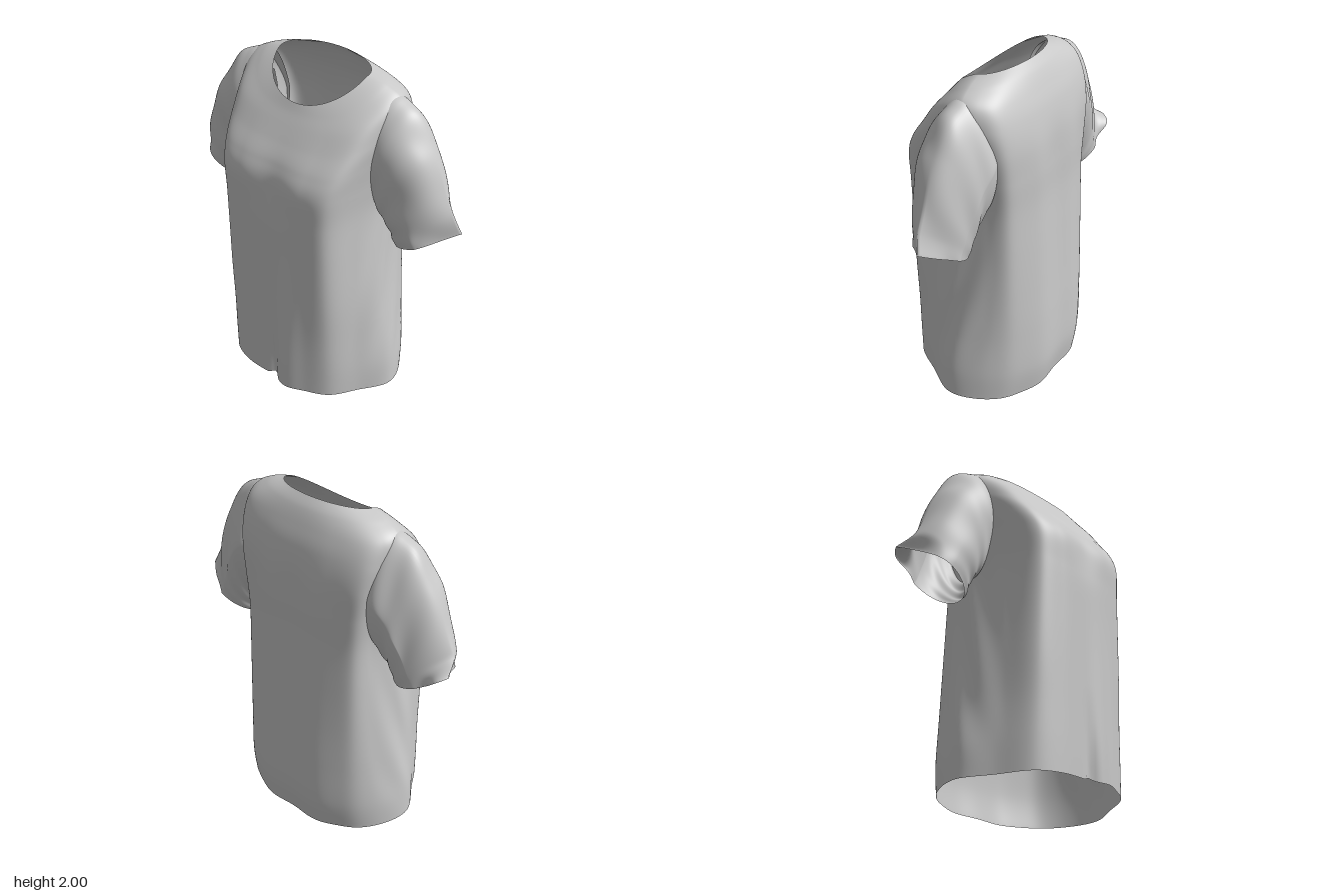
import * as THREE from 'three';

// smooth interpolation through rows of ring parameters, t in 0..1
function sampleRows(rows, t) {
  const f = t * (rows.length - 1);
  const i = Math.min(Math.floor(f), rows.length - 2);
  const k = f - i;
  const row = (n) => rows[Math.max(0, Math.min(rows.length - 1, n))];
  return rows[0].map((_, c) => {
    const [a, b, d, e] = [row(i - 1)[c], row(i)[c], row(i + 1)[c], row(i + 2)[c]];
    return b + 0.5 * k * (d - a + k * (2 * a - 5 * b + 4 * d - e + k * (3 * (b - d) + e - a)));
  });
}

// open tube of cloth: point(u, v) returns [x, y, z], closed around u; faces starting inside a hole are left out
function clothTube(nu, nv, point, inHole = () => false) {
  const pos = [], index = [];
  for (let j = 0; j <= nv; j++) {
    for (let i = 0; i < nu; i++) {
      const p = point(i / nu, j / nv);
      pos.push(...p);
      if (j === nv || inHole(p)) continue;
      const a = j * nu + i, b = j * nu + (i + 1) % nu;
      index.push(a, b, a + nu, b, b + nu, a + nu);
    }
  }
  const geo = new THREE.BufferGeometry();
  geo.setAttribute('position', new THREE.Float32BufferAttribute(pos, 3));
  geo.setIndex(index);
  geo.computeVertexNormals();
  return geo;
}

const { lerp, smoothstep: smooth } = THREE.MathUtils;
const bump = (x, c, w) => Math.exp(-(((x - c) / w) ** 2));

// closed, mirrored cross-section from the half outline, front to back
const mirrored = (half) => new THREE.CatmullRomCurve3(
  [...half, ...half.slice(1, -1).reverse().map(([x, z]) => [-x, z])].map(([x, z]) => new THREE.Vector3(x, 0, z)), true);
const hemSection = mirrored([[0, 1], [0.36, 0.98], [0.62, 0.83], [0.82, 0.42], [1, -0.03], [0.91, -0.46], [0.7, -0.78], [0.39, -0.97], [0, -1]]);
const chestSection = mirrored([[0, 1], [0.45, 0.99], [0.79, 0.89], [0.94, 0.47], [1, 0], [0.98, -0.47], [0.87, -0.83], [0.47, -0.98], [0, -1]]);

// half width, y front, y side, y back, z front, z side, z back, boxiness, roundness
const bodyRings = [
  [0.56, 0.06, 0.03, 0.003, 0.4, 0, -0.41, 0, 0],
  [0.55, 0.22, 0.2, 0.18, 0.4, 0, -0.432, 0.08, 0],
  [0.515, 0.45, 0.45, 0.45, 0.4, 0, -0.425, 0.3, 0],
  [0.48, 0.72, 0.72, 0.72, 0.402, 0, -0.408, 0.6, 0],
  [0.45, 1, 1, 1, 0.405, -0.02, -0.39, 0.85, 0],
  [0.435, 1.25, 1.25, 1.25, 0.408, -0.04, -0.375, 1, 0],
  [0.45, 1.43, 1.43, 1.45, 0.405, -0.06, -0.372, 1, 0],
  [0.475, 1.54, 1.6, 1.63, 0.36, -0.08, -0.362, 1, 0.05],
  [0.5, 1.64, 1.75, 1.77, 0.29, -0.09, -0.335, 1, 0.25],
  [0.49, 1.72, 1.885, 1.87, 0.235, -0.09, -0.297, 1, 0.5],
  [0.4, 1.775, 1.946, 1.95, 0.197, -0.08, -0.255, 1, 0.8],
  [0.29, 1.82, 1.977, 2, 0.17, -0.07, -0.21, 1, 1],
];

function bodyPoint(u, v) {
  const [w, yf, ys, yb, zf, zs, zb, box, round] = sampleRows(bodyRings, v);
  const p = hemSection.getPoint(u).lerp(chestSection.getPoint(u), box);
  const s = lerp(p.z, Math.cos(u * Math.PI * 2), round);
  let x = lerp(p.x, Math.sin(u * Math.PI * 2), round) * w;
  let y = s > 0 ? ys + (yf - ys) * s ** 1.3 : ys + (yb - ys) * -s;
  let z = zs + s * (s > 0 ? zf - zs : zs - zb);
  const torso = 1 - smooth(y, 1.45, 1.75);
  if (s > 0.5) {
    // soft fold beside a short centre crease
    const low = 1 - smooth(y, 0.1, 1.3);
    const crease = 1 - smooth(y, 0.05, 0.6);
    z += low * 0.032 * bump(x, 0.11, 0.09) - crease * 0.025 * bump(x, 0.005, 0.03);
    y += 0.02 * bump(x, 0, 0.03) * (1 - smooth(y, 0.06, 0.2));
    // dip between the fuller sides of the chest
    z -= 0.018 * bump(x, 0, 0.12) * bump(y, 1.42, 0.15);
  } else if (s < -0.6) {
    // long folds down the back
    z += torso * smooth(-s, 0.6, 0.9) * 0.005 * Math.cos(x * 19);
  } else {
    // slanting drapes at the sides, easing off at the hem
    const fade = Math.max(0, 1 - Math.abs(s + 0.05) / 0.55) * torso * smooth(y, 0.05, 0.4);
    x += Math.sign(x) * fade * 0.007 * Math.sin(z * 28 + y * 9);
  }
  return [x, y, z];
}

// openings in the body under the sleeves
const inArmhole = ([x, y, z]) => Math.abs(x) > 0.3 && ((y - 1.58) / 0.28) ** 2 + ((z + 0.09) / 0.14) ** 2 < 1;

// top x, top y, bottom x, bottom y, z front, z back
const sleeveRings = [
  [0.4, 1.915, 0.4, 1.29, 0.085, -0.26],
  [0.5, 1.895, 0.42, 1.24, 0.105, -0.285],
  [0.6, 1.83, 0.455, 1.19, 0.11, -0.275],
  [0.7, 1.69, 0.48, 1.145, 0.1, -0.26],
  [0.795, 1.49, 0.498, 1.1, 0.085, -0.245],
  [0.86, 1.33, 0.51, 1.07, 0.075, -0.235],
  [0.9, 1.235, 0.525, 1.05, 0.068, -0.23],
];

function sleevePoint(side, u, v) {
  const [tx, ty, bx, by, zf, zb] = sampleRows(sleeveRings, v);
  const a = u * Math.PI * 2 * side;
  const c = Math.cos(a), s = Math.sin(a);
  // wrinkles gathered along the middle of the sleeve
  const fold = Math.sin(v * Math.PI) * (0.025 * Math.sin(5 * a + 7 * v) + 0.015 * Math.sin(v * 24 + 3 * a));
  const r = 1 + fold;
  // flatter behind the shoulder, and the outer edge of the cuff pinched to a point
  const pinch = smooth(v, 0.5, 1) * (side > 0 ? 0.85 : 0.4);
  const outer = s < 0 ? lerp(c, c * c, 0.8) : c;
  const m = r * (c > 0 ? lerp(outer, 1 - Math.abs(s), pinch) : c);
  const tip = bump(c, 1, 0.25) * smooth(v, 0.8, 1);
  const x = (tx + bx) / 2 + m * (tx - bx) / 2;
  const y = (ty + by) / 2 + m * (ty - by) / 2 + (side < 0 ? 0.04 * tip : 0);
  const z = (zf + zb) / 2 + s * r * (zf - zb) / 2 - (side < 0 ? 0.1 : 0.02) * tip;
  return [side * x, y, z];
}

export function createModel() {
  const cloth = new THREE.MeshStandardMaterial({ color: 0xc8c8c8, side: THREE.DoubleSide });
  cloth.name = 'light grey cloth';
  const shirt = new THREE.Group();
  shirt.name = 'shirt';
  const add = (name, geometry) => {
    const mesh = new THREE.Mesh(geometry, cloth);
    mesh.name = name;
    shirt.add(mesh);
  };
  add('body', clothTube(192, 110, bodyPoint, inArmhole));
  for (const side of [1, -1]) {
    add(side > 0 ? 'leftSleeve' : 'rightSleeve', clothTube(96, 60, (u, v) => sleevePoint(side, u, v)));
  }
  return shirt;
}
